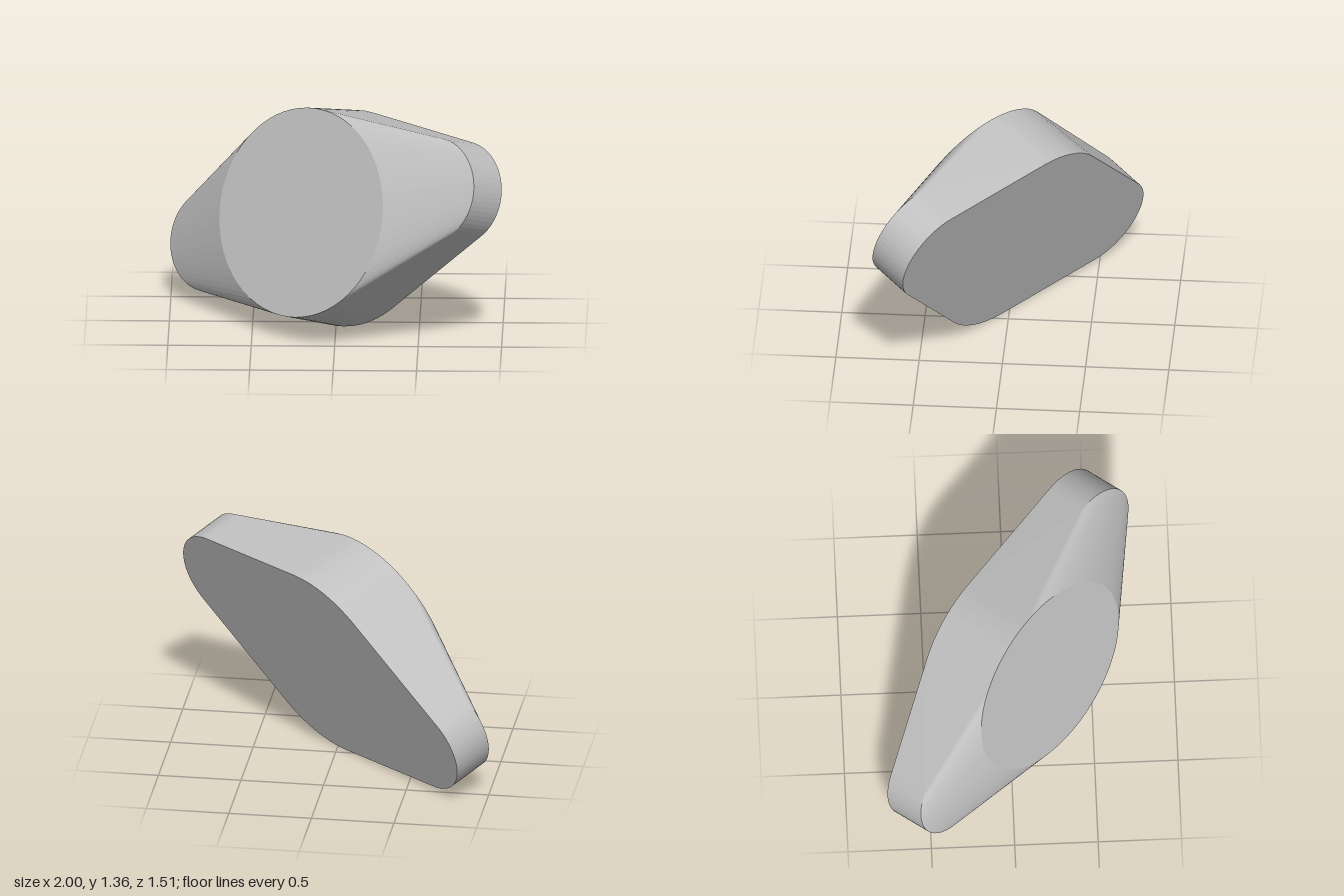
import * as THREE from 'three';
import { ConvexGeometry } from 'three/addons/geometries/ConvexGeometry.js';

// Tilted slab: a large central disc flanked by two small, thinner end discs, wrapped in one skin.
export function createModel() {
  const group = new THREE.Group();
  group.name = 'tiltedSlab';

  // Slab frame: normal points out of the round front face, along runs from end to end
  const normal = new THREE.Vector3(-0.615, 0.296, 0.731).normalize();
  const along = new THREE.Vector3(0.67, 0.304, 0.459);
  along.addScaledVector(normal, -along.dot(normal)).normalize();
  const across = new THREE.Vector3().crossVectors(normal, along);
  const center = new THREE.Vector3(0.08, 0.622, -0.095);

  // One rim of points, offset along the slab and raised from its back face
  const rim = (offset, height, radius, count = 64) =>
    Array.from({ length: count }, (_, i) => {
      const a = (i / count) * Math.PI * 2;
      return center.clone()
        .addScaledVector(normal, height)
        .addScaledVector(along, offset + radius * Math.cos(a))
        .addScaledVector(across, radius * Math.sin(a));
    });

  const points = [...rim(0, 0, 0.65), ...rim(0, 0.465, 0.63)];
  for (const side of [-1, 1]) {
    points.push(...rim(side * 0.865, 0, 0.31), ...rim(side * 0.865, 0.265, 0.31));
  }

  const grey = new THREE.MeshStandardMaterial({ color: 0xc0c0c0 });
  grey.name = 'lightGrey';
  const body = new THREE.Mesh(new ConvexGeometry(points), grey);
  body.name = 'body';
  group.add(body);
  return group;
}
